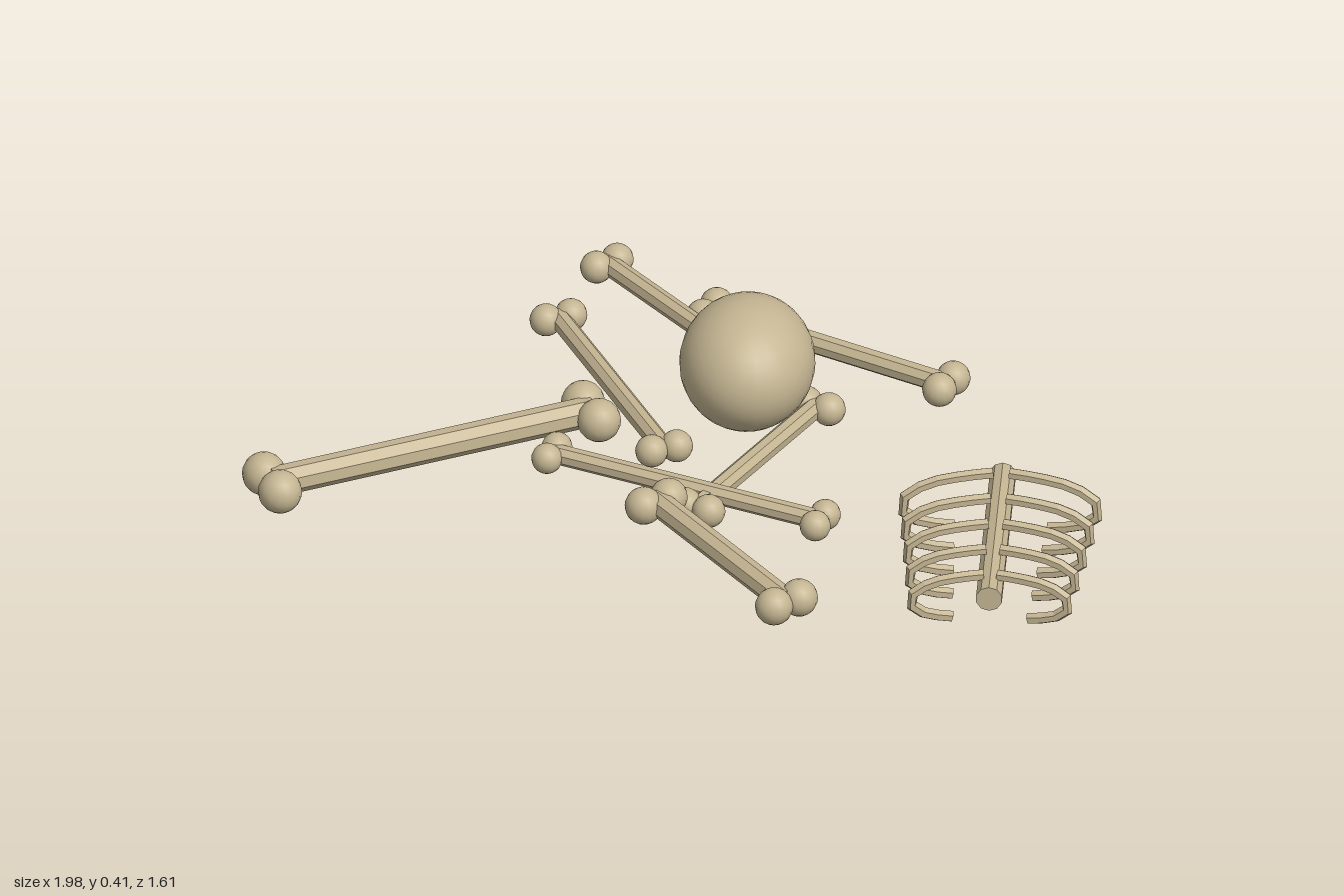
import * as THREE from 'three';

const bone = new THREE.MeshStandardMaterial({ color: 0xc4b592 });
const facetedBone = new THREE.MeshStandardMaterial({ color: 0xc4b592, flatShading: true });
const dark = new THREE.MeshStandardMaterial({ color: 0x111111 });
const UP = new THREE.Vector3(0, 1, 0);

function add(parent, name, geometry, material, x = 0, y = 0, z = 0) {
  const mesh = new THREE.Mesh(geometry, material);
  mesh.name = name;
  mesh.position.set(x, y, z);
  parent.add(mesh);
  return mesh;
}

function ellipsoid(parent, name, material, x, y, z, rx, ry, rz) {
  const mesh = add(parent, name, new THREE.SphereGeometry(1, 28, 20), material, x, y, z);
  mesh.scale.set(rx, ry, rz);
  return mesh;
}

// Long bone: faceted shaft between two ends, each with a pair of round knobs
function longBone(name, a, b, shaftRadius, knobRadius, spread) {
  const group = new THREE.Group();
  group.name = name;
  const start = new THREE.Vector3(...a), end = new THREE.Vector3(...b);
  const dir = end.clone().sub(start);
  const length = dir.length();
  dir.normalize();
  const shaft = add(group, 'shaft', new THREE.CylinderGeometry(shaftRadius, shaftRadius, length, 8), facetedBone);
  shaft.position.copy(start).add(end).multiplyScalar(0.5);
  shaft.quaternion.setFromUnitVectors(UP, dir);
  const side = new THREE.Vector3().crossVectors(UP, dir).normalize();
  for (const p of [start, end]) {
    for (const s of [-1, 1]) {
      const knob = add(group, 'knob', new THREE.SphereGeometry(knobRadius, 16, 12), bone);
      knob.position.copy(p).addScaledVector(side, s * spread);
    }
  }
  return group;
}

function createSkull() {
  const skull = new THREE.Group();
  skull.name = 'skull';
  skull.position.set(0.145, 0, 0);
  ellipsoid(skull, 'cranium', bone, 0, 0.277, -0.162, 0.157, 0.152, 0.188);
  ellipsoid(skull, 'face', bone, 0, 0.175, -0.3, 0.117, 0.092, 0.1);
  add(skull, 'jaw', new THREE.BoxGeometry(0.13, 0.045, 0.09), bone, 0, 0.103, -0.37);
  for (const s of [-1, 1]) {
    const socket = ellipsoid(skull, 'eyeSocket', dark, s * 0.061, 0.226, -0.376, 0.036, 0.036, 0.02);
    socket.rotation.set(0.2, s * -0.15, 0);
  }
  const nose = add(skull, 'noseHole', new THREE.ConeGeometry(0.02, 0.045, 4), dark, 0, 0.178, -0.395);
  nose.scale.z = 0.6;
  for (let i = 0; i < 6; i++) {
    add(skull, 'tooth', new THREE.BoxGeometry(0.015, 0.024, 0.014), bone, (i - 2.5) * 0.02, 0.135, -0.408);
  }
  return skull;
}

function createRibcage() {
  const cage = new THREE.Group();
  cage.name = 'ribcage';
  cage.position.set(0.747, 0, 0);
  const spine = add(cage, 'spine', new THREE.CylinderGeometry(0.031, 0.031, 0.57, 10), facetedBone, 0, 0.123, 0.34);
  spine.rotation.x = Math.PI / 2;
  // Curved ribs sweep out, back and under, shrinking along the spine
  const profile = [[0.02, 0.06], [0.09, 0.057], [0.165, 0.045], [0.22, 0.015], [0.229, -0.015], [0.19, -0.052], [0.11, -0.071]];
  for (let i = 0; i < 5; i++) {
    const scale = 1 - i * 0.05;
    for (const s of [-1, 1]) {
      const points = profile.map(([x, y]) =>
        new THREE.Vector3(s * x * scale, 0.105 + y * scale, 0.118 + i * 0.111 + 0.2 * x * scale));
      const curve = new THREE.CatmullRomCurve3(points);
      add(cage, 'rib', new THREE.TubeGeometry(curve, 9, 0.014, 6), facetedBone);
      for (const end of [0, 1]) {
        const cap = add(cage, 'ribEnd', new THREE.CircleGeometry(0.014, 6), facetedBone);
        const tangent = curve.getTangent(end).multiplyScalar(end ? 1 : -1);
        cap.position.copy(curve.getPoint(end));
        cap.quaternion.setFromUnitVectors(new THREE.Vector3(0, 0, 1), tangent);
      }
    }
  }
  return cage;
}

export function createModel() {
  const model = new THREE.Group();
  model.name = 'bonePile';
  model.add(createSkull(), createRibcage());

  // Scattered bones: name, start, end, shaft radius, knob radius, knob spread
  const bones = [
    ['thighBone', [-0.93, 0.142, 0.22], [-0.215, 0.14, -0.15], 0.036, 0.051, 0.045],
    ['backBone', [-0.213, 0.18, -0.757], [0.187, 0.17, -0.284], 0.025, 0.038, 0.03],
    ['upperBone', [-0.307, 0.215, -0.445], [-0.03, 0.215, 0.138], 0.025, 0.038, 0.031],
    ['backSideBone', [0.035, 0.165, -0.582], [0.597, 0.16, -0.287], 0.026, 0.04, 0.031],
    ['underSkullBone', [0.05, 0.103, 0.212], [0.3, 0.1, -0.272], 0.025, 0.039, 0.031],
    ['middleBone', [-0.296, 0.122, 0.014], [0.337, 0.107, 0.26], 0.024, 0.036, 0.028],
    ['frontBone', [-0.038, 0.18, 0.32], [0.286, 0.163, 0.732], 0.031, 0.044, 0.035],
  ];
  for (const b of bones) model.add(longBone(...b));
  return model;
}
